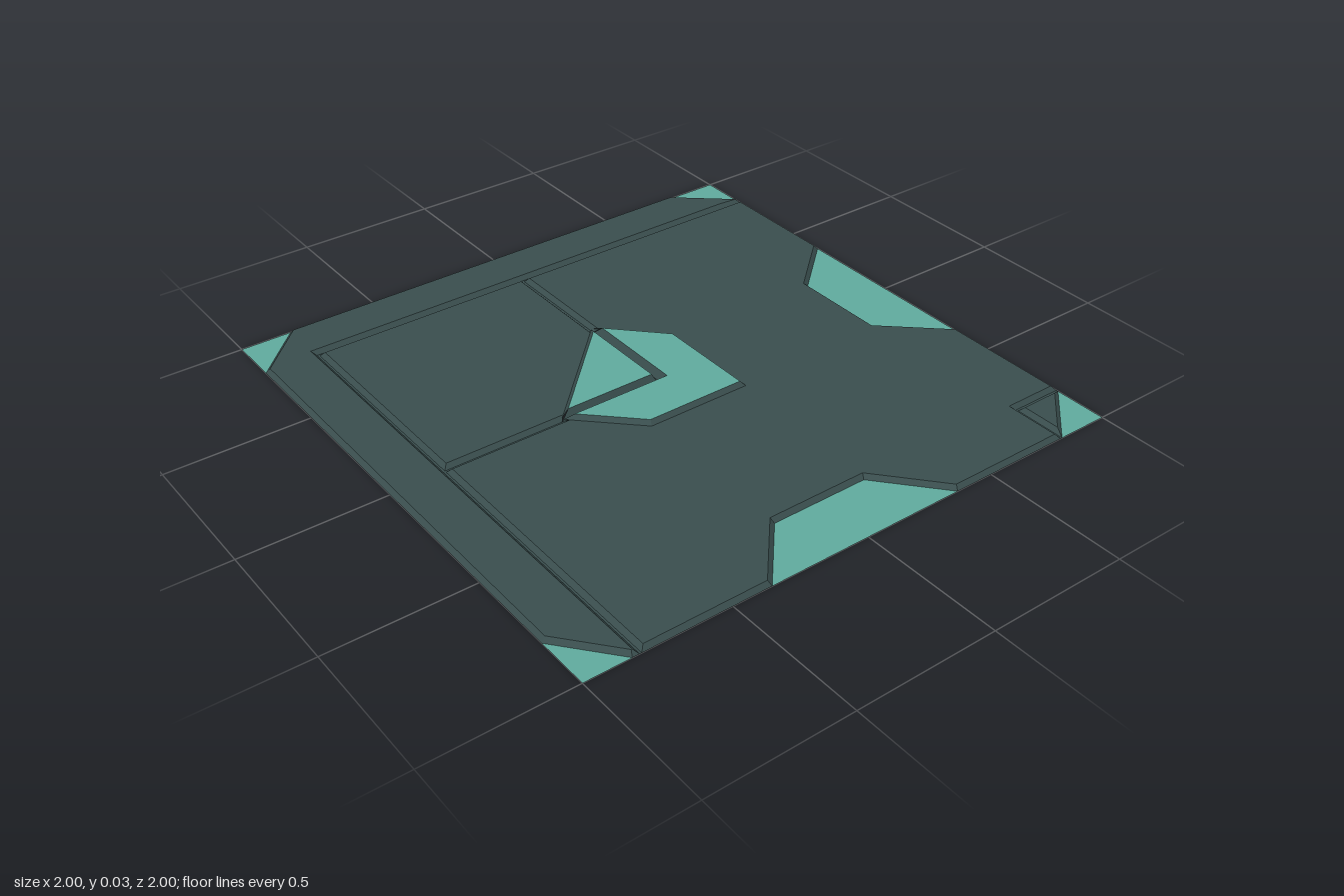
import * as THREE from 'three';

const TOP = 0.015;    // height of the floor panels
const RAISED = 0.03;  // height of the centre emblem plates
const BEVEL = 0.014;  // width of the sloped edges
const G = 0.004;      // half width of the groove floors
const E = 0.809, F = 0.816; // inner and outer side of the border groove

const make = (color, name) => {
  const m = new THREE.MeshStandardMaterial({ color, side: THREE.DoubleSide });
  m.name = name;
  return m;
};

function mesh(name, tris, material) {
  const g = new THREE.BufferGeometry();
  g.setAttribute('position', new THREE.Float32BufferAttribute(tris.flat(), 3));
  g.computeVertexNormals();
  const m = new THREE.Mesh(g, material);
  m.name = name;
  return m;
}

// Flat upward-facing polygon from [x, z] points
function flat(name, pts, y, material) {
  const contour = pts.map(([x, z]) => new THREE.Vector2(x, z));
  const tris = [];
  for (const [a, b, c] of THREE.ShapeUtils.triangulateShape(contour, [])) {
    const [p, q, r] = [pts[a], pts[b], pts[c]];
    const cross = (q[0] - p[0]) * (r[1] - p[1]) - (q[1] - p[1]) * (r[0] - p[0]);
    for (const v of cross < 0 ? [p, q, r] : [p, r, q]) tris.push([v[0], y, v[1]]);
  }
  return mesh(name, tris, material);
}

// Move each edge of a clockwise outline inward by its own distance
function inset(pts, dist) {
  const n = pts.length;
  const normals = pts.map((p, i) => {
    const q = pts[(i + 1) % n];
    const l = Math.hypot(q[0] - p[0], q[1] - p[1]);
    return [-(q[1] - p[1]) / l, (q[0] - p[0]) / l];
  });
  return pts.map((p, i) => {
    const k = (i + n - 1) % n, a = normals[k], b = normals[i];
    const det = a[0] * b[1] - a[1] * b[0];
    return [
      p[0] + (dist[k] * b[1] - dist[i] * a[1]) / det,
      p[1] + (a[0] * dist[i] - b[0] * dist[k]) / det,
    ];
  });
}

// Bevelled plate; a point's third value is the height its edge rises from (default 0).
// An edge that starts at the plate's own height stays flush and gets no slope.
function panel(name, pts, y, topMat, wallMat) {
  const group = new THREE.Group();
  group.name = name;
  const base = pts.map((p) => p[2] ?? 0);
  const inner = inset(pts, base.map((b) => (b === y ? 0 : BEVEL)));
  group.add(flat(name + 'Top', inner, y, topMat));
  const walls = [];
  pts.forEach((p, i) => {
    if (base[i] === y) return;
    const j = (i + 1) % pts.length, q = pts[j];
    const a = [p[0], base[i], p[1]], b = [q[0], base[i], q[1]];
    const c = [inner[j][0], y, inner[j][1]], d = [inner[i][0], y, inner[i][1]];
    walls.push(a, c, b, a, d, c);
  });
  group.add(mesh(name + 'Slopes', walls, wallMat));
  return group;
}

export function createModel() {
  const slate = make(0x394d4d, 'slate');
  const teal = make(0x60aa9d, 'teal');
  const model = new THREE.Group();
  model.name = 'floorTile';

  // Border along the left and back, with cut corners
  model.add(panel('borderPanel', [
    [-0.82, -1], [0.8, -1], [1, -0.83], [1, -F], [-F, -F], [-F, 1],
    [-0.84, 1], [-1, 0.81], [-1, -0.82],
  ], TOP, slate, slate));

  // Large L-shaped panel, flush against the emblem
  model.add(panel('mainPanel', [
    [G, -E], [1, -E], [1, -0.36], [0.79, -0.175], [0.79, 0.165], [1, 0.355],
    [1, 0.808], [0.808, 0.808], [0.808, 1],
    [0.36, 1], [0.175, 0.79], [-0.175, 0.79], [-0.36, 1],
    [-E, 1], [-E, G],
    [-0.38, G, TOP], [-0.18, 0.2, TOP], [0.2, 0.2, TOP], [0.2, -0.18, TOP], [G, -0.38],
  ], TOP, slate, slate));

  // Square panel at the back, its inner corner taken by the emblem
  model.add(panel('quarterPanel', [
    [-E, -E], [-G, -E], [-G, -0.38, TOP], [-0.38, -G], [-E, -G],
  ], TOP, slate, slate));

  // Small triangle in the front corner
  model.add(panel('cornerPanel', [[0.815, 0.815], [1, 0.815], [0.815, 1]], TOP, slate, slate));

  // Raised emblem in the middle, split by the grooves
  model.add(panel('emblemChevron', [
    [G, -0.38, TOP], [0.2, -0.18, TOP], [0.2, 0.2, TOP], [-0.18, 0.2, TOP],
    [-0.38, G], [G, G],
  ], RAISED, teal, slate));
  model.add(panel('emblemTriangle', [
    [-G, -0.38], [-G, -G], [-0.38, -G, TOP],
  ], RAISED, teal, slate));

  // Sunken coloured floors at the sides and corners
  const insets = {
    rightInset: [[1, -0.36], [1, 0.355], [0.79, 0.165], [0.79, -0.175]],
    frontInset: [[-0.36, 1], [-0.175, 0.79], [0.175, 0.79], [0.36, 1]],
    backLeftInset: [[-1, -1], [-0.82, -1], [-1, -0.82]],
    backRightInset: [[0.8, -1], [1, -1], [1, -0.83]],
    frontLeftInset: [[-1, 0.81], [-0.84, 1], [-1, 1]],
    frontRightInset: [[1, 0.815], [1, 1], [0.815, 1]],
  };
  for (const [name, pts] of Object.entries(insets)) model.add(flat(name, pts, 0, teal));

  // Groove floors: x0, z0, x1, z1
  const grooves = [
    [-F, -F, -E, 1], [-E, -F, 1, -E],
    [-G, -E, G, G], [-E, -G, -G, G],
    [0.808, 0.808, 0.815, 1], [0.815, 0.808, 1, 0.815],
  ];
  for (const [x0, z0, x1, z1] of grooves) {
    model.add(flat('groove', [[x0, z0], [x1, z0], [x1, z1], [x0, z1]], 0, slate));
  }
  return model;
}
